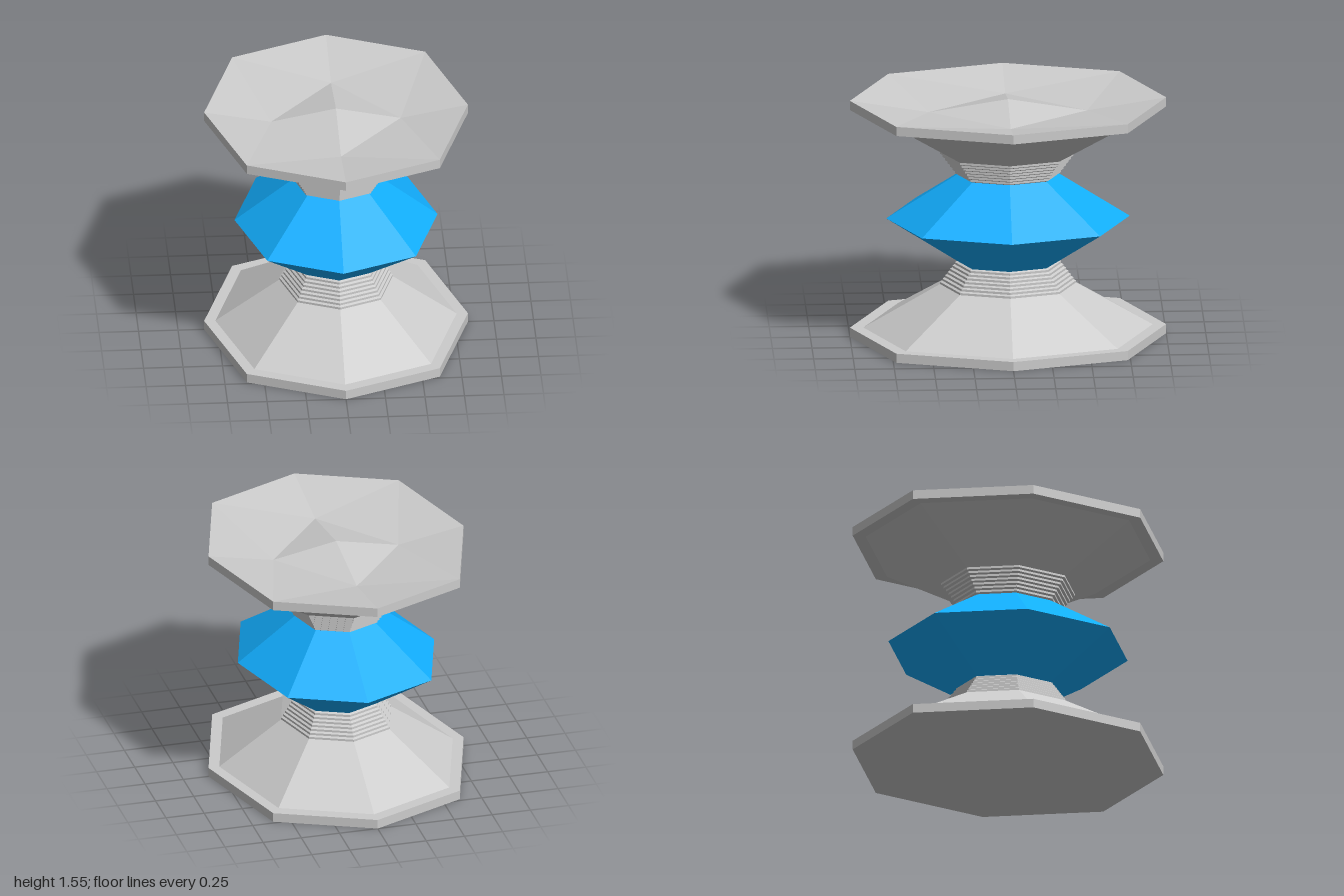
import * as THREE from 'three';

const WIDTH = 0.835;   // x radius relative to z radius
const CORNER = 1.035;  // diagonal corners sit slightly outside a regular octagon
const HEIGHT = 1.55;

const grey = new THREE.MeshStandardMaterial({ color: 0xcccccc, flatShading: true, side: THREE.DoubleSide });
const blue = new THREE.MeshStandardMaterial({ color: 0x12aeff, flatShading: true, side: THREE.DoubleSide });

// Eight-sided shell swept from a [radius, y] profile, listed bottom to top
function octagonShell(name, profile, material) {
  const lathe = new THREE.LatheGeometry(profile.map(([r, y]) => new THREE.Vector2(r, y)), 8);
  const p = lathe.attributes.position;
  for (let i = 0; i < p.count; i++) {
    const x = p.getX(i), z = p.getZ(i);
    const k = Math.min(Math.abs(x), Math.abs(z)) > 1e-4 ? CORNER : 1;
    p.setX(i, x * k * WIDTH);
    p.setZ(i, z * k);
  }
  const geometry = lathe.toNonIndexed();
  geometry.computeVertexNormals();
  const mesh = new THREE.Mesh(geometry, material);
  mesh.name = name;
  return mesh;
}

// Underside: sunk to a diamond, rising back to a point level with the rim
function dishedFace() {
  const c = Math.SQRT1_2 * CORNER;
  const rimZ = [0, 0, 1], rimCorner = [c * WIDTH, 0, c], rimX = [WIDTH, 0, 0];
  const inZ = [0, 0.08, 0.5], inX = [0.41, 0.08, 0], tip = [0, 0, 0];
  const quadrant = [
    [rimZ, inZ, rimCorner],
    [inZ, inX, rimCorner],
    [rimCorner, inX, rimX],
    [inZ, tip, inX],
  ];
  const positions = [];
  for (const sx of [1, -1]) for (const sz of [1, -1]) {
    for (const [a, b, d] of quadrant) {
      const tri = sx * sz > 0 ? [a, b, d] : [a, d, b];
      for (const [x, y, z] of tri) positions.push(x * sx, y, z * sz);
    }
  }
  const geometry = new THREE.BufferGeometry();
  geometry.setAttribute('position', new THREE.Float32BufferAttribute(positions, 3));
  geometry.computeVertexNormals();
  const mesh = new THREE.Mesh(geometry, grey);
  mesh.name = 'dishedFace';
  return mesh;
}

// Plate, cone and ribbed neck, standing on y = 0
function endPiece(name) {
  const group = new THREE.Group();
  group.name = name;
  group.add(dishedFace());
  group.add(octagonShell('plateRim', [[1, 0], [1, 0.06], [0.915, 0.06]], grey));
  group.add(octagonShell('cone', [[0.915, 0.06], [0.43, 0.34]], grey));

  // Seven shrinking ribs
  const steps = 7, ribs = [];
  const dy = 0.15 / steps, dr = 0.11 / steps;
  for (let i = 0; i < steps; i++) {
    const r = 0.43 - i * dr, y = 0.34 + i * dy;
    ribs.push([r, y], [r, y + dy * 0.65]);
  }
  ribs.push([0.32, 0.49]);
  group.add(octagonShell('ribbedNeck', ribs, grey));
  return group;
}

export function createModel() {
  const model = new THREE.Group();
  model.name = 'spool';

  const base = endPiece('base');
  const top = endPiece('top');
  top.rotation.x = Math.PI;
  top.position.y = HEIGHT;
  model.add(base, top);

  // Faceted blue body between the necks
  model.add(octagonShell('blueBody', [[0.32, 0.49], [0.77, HEIGHT / 2], [0.32, HEIGHT - 0.49]], blue));
  return model;
}
